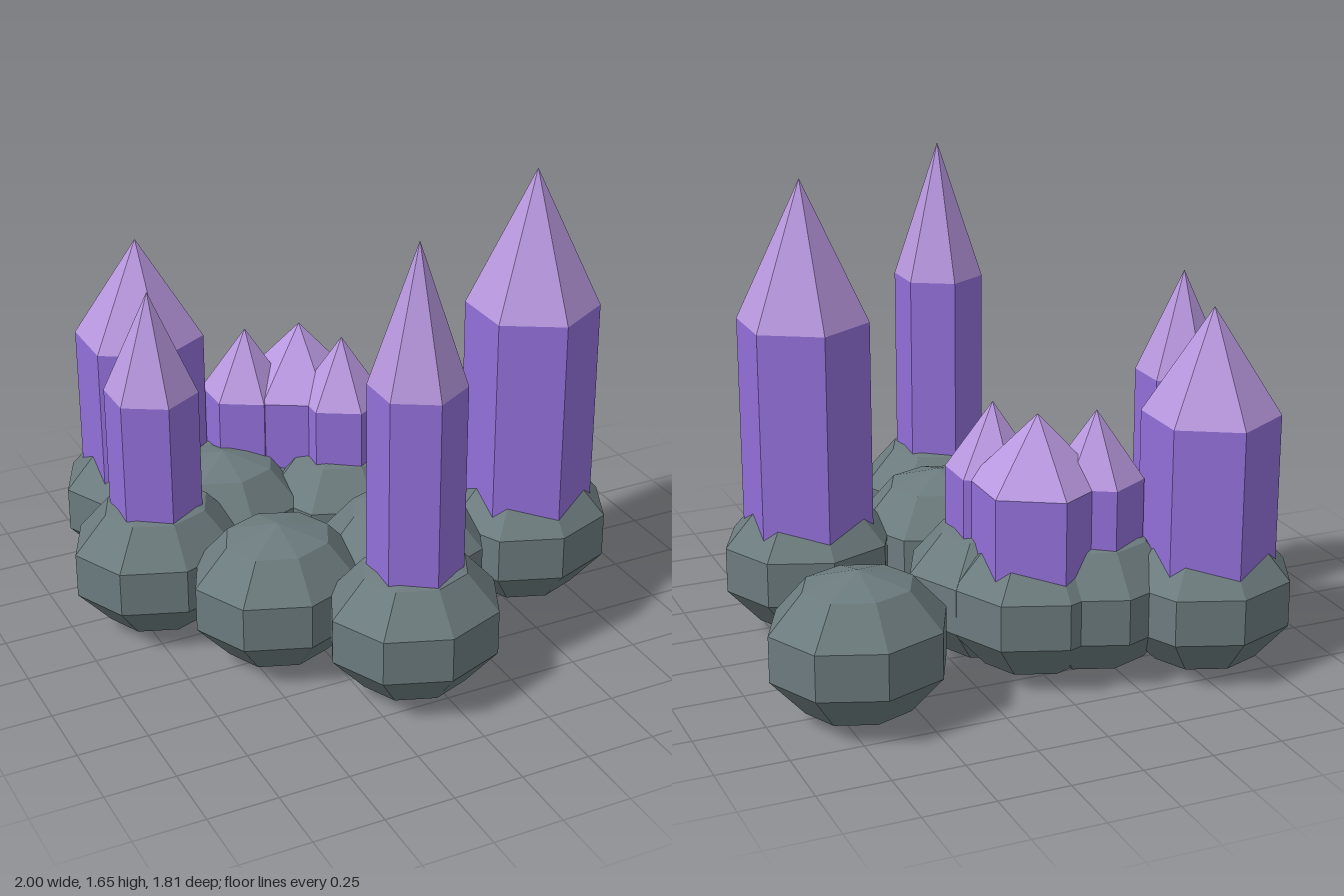
import * as THREE from 'three';

const rockMat = new THREE.MeshStandardMaterial({ color: 0x6c7b7e, flatShading: true });
rockMat.name = 'grey stone';
const shaftMat = new THREE.MeshStandardMaterial({ color: 0x9370db, flatShading: true });
shaftMat.name = 'purple crystal';
const tipMat = new THREE.MeshStandardMaterial({ color: 0xb998e0, flatShading: true });
tipMat.name = 'light purple crystal';

const BASE = 0.2; // crystal foot, buried in its rock
const WIDE = 0.236, SLIM = 0.165;

// Rock positions [x, z]; the optional crystal is [radius, shoulder height, tip height]
const CLUSTER = [
  [0.6, 0.222, [WIDE, 1.15, 1.65]],
  [-0.07, 0.626, [SLIM, 1.15, 1.65]],
  [-0.553, -0.626, [WIDE, 0.92, 1.29]],
  [-0.69, -0.16, [SLIM, 0.92, 1.29]],
  [0, -0.433, [WIDE, 0.69, 0.93]],
  [0.085, -0.25, [SLIM, 0.69, 0.93]],
  [-0.2, -0.473, [SLIM, 0.69, 0.93]],
  [-0.355, -0.34],
  [-0.4, 0.237],
  [0.085, 0.237],
  [0.69, -0.55],
];

// Squashed low-poly boulder standing on the ground
const rockGeo = new THREE.SphereGeometry(0.325, 8, 5).scale(1, 0.9 * 0.9, 0.9);
rockGeo.translate(0, 0.262, 0);

function addMesh(parent, name, geometry, material, y = 0) {
  const mesh = new THREE.Mesh(geometry, material);
  mesh.name = name;
  mesh.position.y = y;
  parent.add(mesh);
}

// Hexagonal shaft with a pointed tip
function makeCrystal([radius, shoulder, top]) {
  const crystal = new THREE.Group();
  crystal.name = 'crystal';
  const shaft = new THREE.CylinderGeometry(radius, radius, shoulder - BASE, 6);
  addMesh(crystal, 'crystalShaft', shaft, shaftMat, (shoulder + BASE) / 2);
  const tip = new THREE.ConeGeometry(radius, top - shoulder, 6, 1, true);
  addMesh(crystal, 'crystalTip', tip, tipMat, (top + shoulder) / 2);
  return crystal;
}

export function createModel() {
  const model = new THREE.Group();
  model.name = 'crystalCluster';
  for (const [x, z, crystal] of CLUSTER) {
    const clump = new THREE.Group();
    clump.name = crystal ? 'crystalRock' : 'bareRock';
    clump.position.set(x, 0, z);
    addMesh(clump, 'rock', rockGeo, rockMat);
    if (crystal) clump.add(makeCrystal(crystal));
    model.add(clump);
  }
  return model;
}
